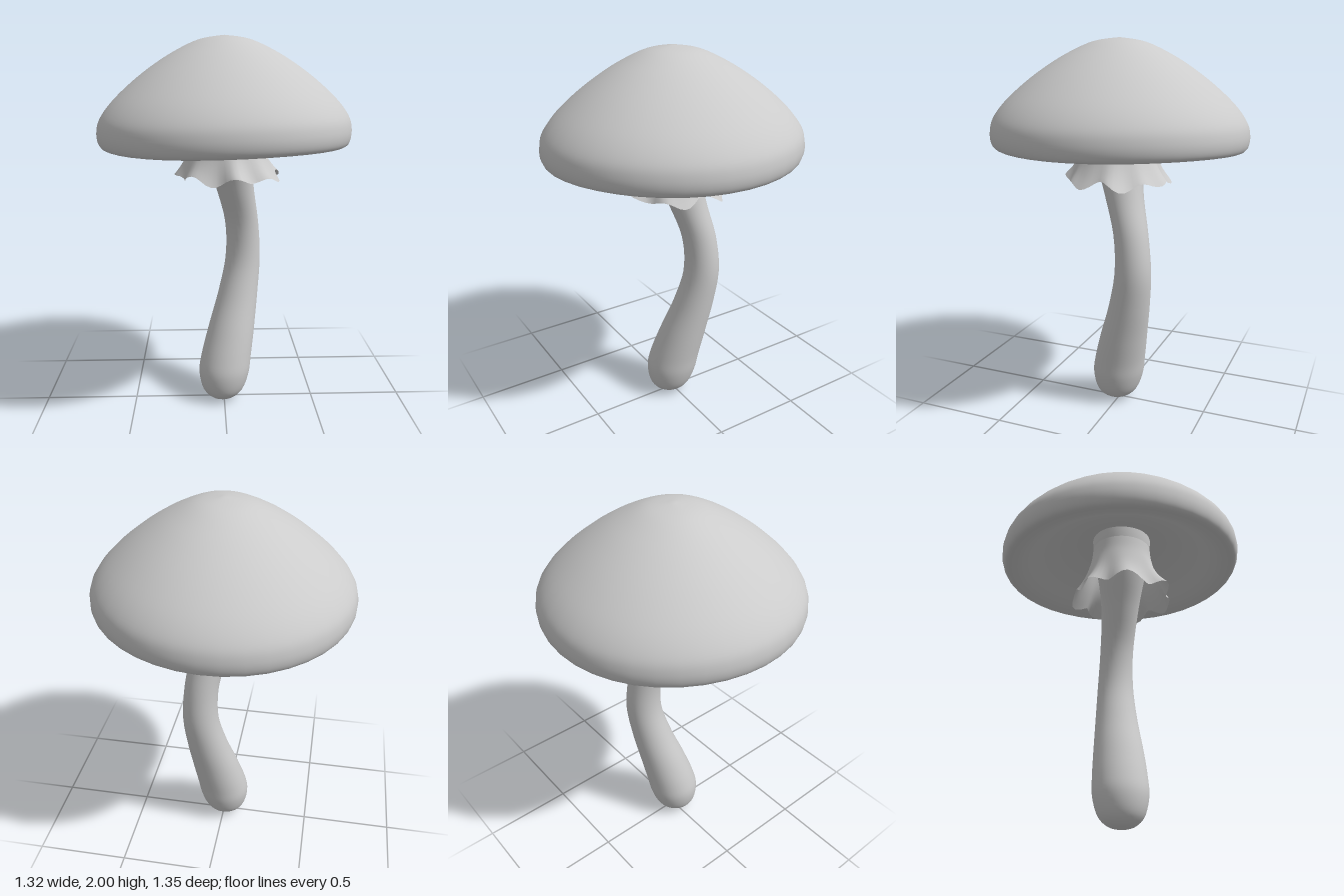
import * as THREE from 'three';
import { mergeVertices } from 'three/addons/utils/BufferGeometryUtils.js';

const material = new THREE.MeshStandardMaterial({ color: 0xcccccc });
const thinMaterial = new THREE.MeshStandardMaterial({ color: 0xcccccc, side: THREE.DoubleSide });

// Smooth profile of [radius, height] points
function profile(points, samples) {
  const spline = new THREE.SplineCurve(points.map(([r, y]) => new THREE.Vector2(r, y)));
  return spline.getPoints(samples).map((p) => new THREE.Vector2(Math.max(0, p.x), p.y));
}

// Lathe whose vertices are moved by a rule, with seamless smooth normals
function bentLathe(name, points, samples, segments, rule, mat) {
  let geo = new THREE.LatheGeometry(profile(points, samples), segments);
  const pos = geo.attributes.position;
  const v = new THREE.Vector3();
  for (let i = 0; i < pos.count; i++) {
    rule(v.fromBufferAttribute(pos, i));
    pos.setXYZ(i, v.x, v.y, v.z);
  }
  geo.deleteAttribute('uv');
  geo.deleteAttribute('normal');
  geo = mergeVertices(geo, 1e-4);
  geo.computeVertexNormals();
  const mesh = new THREE.Mesh(geo, mat);
  mesh.name = name;
  return mesh;
}

// Centre line of the stem as (height, x, z)
const centreLine = new THREE.CatmullRomCurve3([
  [0, -0.01, 0.02], [0.2, 0.005, 0], [0.4, 0.042, -0.042], [0.6, 0.082, -0.09],
  [0.8, 0.11, -0.12], [1.0, 0.102, -0.105], [1.2, 0.062, -0.052],
  [1.4, 0.02, -0.005], [1.6, 0.01, 0.005], [1.8, 0.01, 0.005],
].map(([y, x, z]) => new THREE.Vector3(x, y, z)));

export function createModel() {
  const group = new THREE.Group();

  // Curved stem: bulbous base, slim middle, flared top
  const stem = bentLathe('stem', [
    [0, 0], [0.065, 0.015], [0.115, 0.065], [0.141, 0.16], [0.14, 0.26], [0.13, 0.4],
    [0.111, 0.6], [0.097, 0.8], [0.092, 1.0], [0.102, 1.2], [0.122, 1.35],
    [0.152, 1.5], [0.163, 1.58], [0.166, 1.67],
  ], 60, 32, (v) => {
    const c = centreLine.getPoint(Math.min(v.y / 1.8, 1));
    v.x += c.x;
    v.z += c.z;
  }, material);

  // Domed cap with a rolled rim and hollow underside, slightly tilted
  const cap = bentLathe('cap', [
    [0, 1.655], [0.15, 1.645], [0.3, 1.6], [0.42, 1.54], [0.52, 1.475], [0.58, 1.447],
    [0.63, 1.443], [0.654, 1.47], [0.66, 1.525], [0.643, 1.59], [0.585, 1.67],
    [0.49, 1.76], [0.38, 1.845], [0.26, 1.92], [0.13, 1.979], [0, 2.0],
  ], 75, 40, (v) => {
    const a = Math.atan2(v.x, v.z);
    const r = Math.hypot(v.x, v.z);
    v.y += 0.016 * v.x + 0.006 * r * Math.sin(3 * a + 0.5);
    v.z *= 1.02;
  }, material);

  // Thin ruffled skirt hanging from the top of the stem
  const skirt = bentLathe('skirt', [
    [0.268, 1.278], [0.238, 1.325], [0.21, 1.38], [0.188, 1.44], [0.17, 1.51], [0.163, 1.58],
  ], 18, 64, (v) => {
    const a = Math.atan2(v.x, v.z);
    const drop = THREE.MathUtils.clamp((1.52 - v.y) / 0.24, 0, 1);
    const k = drop * drop;
    const swell = 1 + k * (0.06 * Math.sin(7 * a + 0.6) + 0.03 * Math.sin(11 * a));
    v.x = v.x * swell + 0.01 + 0.015 * k;
    v.z = v.z * swell + 0.005 - 0.008 * k;
    v.y += k * (0.018 * Math.sin(8 * a + 1.2) + 0.01 * Math.sin(5 * a));
  }, thinMaterial);

  group.add(stem, cap, skirt);
  return group;
}
